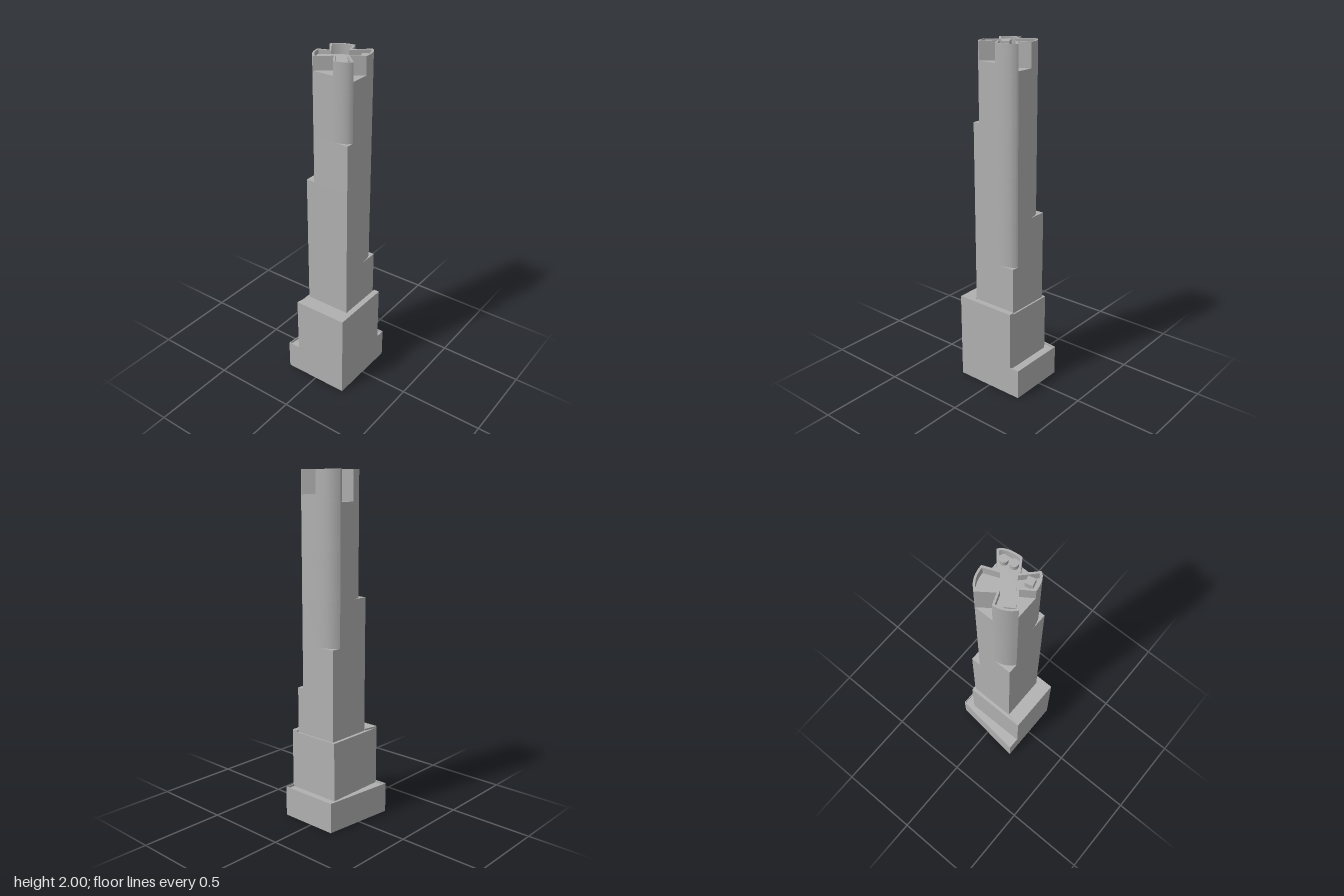
import * as THREE from 'three';
import { toCreasedNormals } from 'three/addons/utils/BufferGeometryUtils.js';

const concrete = new THREE.MeshStandardMaterial({ color: 0xb0b0b0 });
concrete.name = 'concrete grey';

// Footprint limits of the shaft
const L = -0.108, R = 0.162, B = -0.147, F = 0.125;

// Corners in order; each is square up to `cut`, rounded above it,
// and followed by a V notch that opens above `notchCut`
const corners = [
  { from: [0.013, B], mid: [-0.06, -0.13], to: [L, -0.087], square: [L, B], cut: 1.04, notch: [-0.048, -0.006], notchCut: 1.83 },
  { from: [L, 0.017], mid: [-0.091, 0.078], to: [-0.052, F], square: [L, F], cut: 1.30, notch: [0.026, 0.06], notchCut: 1.925 },
  { from: [0.07, F], mid: [0.13, 0.11], to: [R, 0.08], square: [R, F], cut: 1.57, notch: [0.094, 0.015], notchCut: 1.90 },
  { from: [R, -0.03], mid: [0.15, -0.107], to: [0.118, B], square: [R, B], cut: 0.78, notch: [0.041, -0.077], notchCut: 1.865 },
];

// Plan outline of the shaft just above height y, as [x, z] points
function outline(y) {
  const pts = [];
  for (const c of corners) {
    if (y < c.cut) pts.push(c.from, c.square, c.to);
    else {
      const ctrl = [0, 1].map(i => 2 * c.mid[i] - (c.from[i] + c.to[i]) / 2);
      const curve = new THREE.QuadraticBezierCurve(
        new THREE.Vector2(...c.from), new THREE.Vector2(...ctrl), new THREE.Vector2(...c.to));
      pts.push(...curve.getPoints(12).map(p => [p.x, p.y]));
    }
    if (y >= c.notchCut) pts.push(c.notch);
  }
  return pts;
}

// Move every edge of an outline inward by d
function inset(pts, d) {
  const n = pts.length;
  const normal = (a, b) => {
    const dx = b[0] - a[0], dz = b[1] - a[1], l = Math.hypot(dx, dz);
    return [dz / l, -dx / l];
  };
  return pts.map((p, i) => {
    const a = normal(pts[(i + n - 1) % n], p), b = normal(p, pts[(i + 1) % n]);
    const k = d / (1 + a[0] * b[0] + a[1] * b[1]);
    return [p[0] + (a[0] + b[0]) * k, p[1] + (a[1] + b[1]) * k];
  });
}

// Upright prism from a plan outline, with an optional hole
function prism(name, pts, y0, y1, hole) {
  const flat = list => list.map(([x, z]) => new THREE.Vector2(x, -z));
  const shape = new THREE.Shape(flat(pts));
  if (hole) shape.holes.push(new THREE.Path(flat(hole)));
  let geo = new THREE.ExtrudeGeometry(shape, { depth: y1 - y0, bevelEnabled: false });
  geo.rotateX(-Math.PI / 2).translate(0, y0, 0);
  geo = toCreasedNormals(geo, 0.5);
  const mesh = new THREE.Mesh(geo, concrete);
  mesh.name = name;
  return mesh;
}

export function createModel() {
  const group = new THREE.Group();
  group.name = 'tower';

  // Skewed base with a low parapet
  const base = [[-0.155, -0.217], [-0.202, 0.215], [0.2, 0.215], [0.2, -0.217]];
  group.add(prism('base', base, 0, 0.165));
  group.add(prism('baseParapet', base, 0.165, 0.178, inset(base, 0.005)));

  // Podium: lower ledge at back and left, raised terrace at front and right
  group.add(prism('podium', [[-0.127, -0.157], [-0.127, 0.215], [0.2, 0.215], [0.2, -0.157]], 0.16, 0.51));
  group.add(prism('podiumTerrace',
    [[-0.11, 0.128], [-0.127, 0.215], [0.2, 0.215], [0.2, -0.157], [0.166, -0.157], [0.166, 0.128]], 0.51, 0.52));

  // Shaft, one stage between each pair of setbacks
  const deck = 1.945;
  const levels = [0.5, ...corners.map(c => c.cut), ...corners.map(c => c.notchCut), deck].sort((a, b) => a - b);
  for (let i = 0; i < levels.length - 1; i++) {
    group.add(prism('shaftStage' + (i + 1), outline(levels[i]), levels[i], levels[i + 1]));
  }

  // Crown parapet around the roof
  const crown = outline(2);
  const inner = inset(crown, 0.011);
  group.add(prism('crownParapet', crown, deck, 2, inner));

  // Raised roof deck over all but the back right arm
  const innerNotch = corners.map(c => inner[crown.indexOf(c.notch)]);
  const start = crown.indexOf(corners[0].notch);
  const end = crown.indexOf(corners[3].notch);
  group.add(prism('roofDeck', inner.slice(start, end + 1), deck, deck + 0.008));

  // Roof plant: two round tanks and two housings
  for (const [x, z] of [[0.11, -0.096], [0.123, -0.046]]) {
    const tank = new THREE.Mesh(new THREE.CylinderGeometry(0.022, 0.022, 0.035, 24), concrete);
    tank.position.set(x, 1.965, z);
    tank.name = 'roofTank';
    group.add(tank);
  }
  for (const [x, z, w, d, turn] of [[-0.026, 0.058, 0.088, 0.054, 0.57], [0.097, 0.07, 0.04, 0.041, 0.27]]) {
    const housing = new THREE.Mesh(new THREE.BoxGeometry(w, 0.042, d), concrete);
    housing.position.set(x, 1.968, z);
    housing.rotation.y = turn;
    housing.name = 'roofHousing';
    group.add(housing);
  }
  return group;
}
